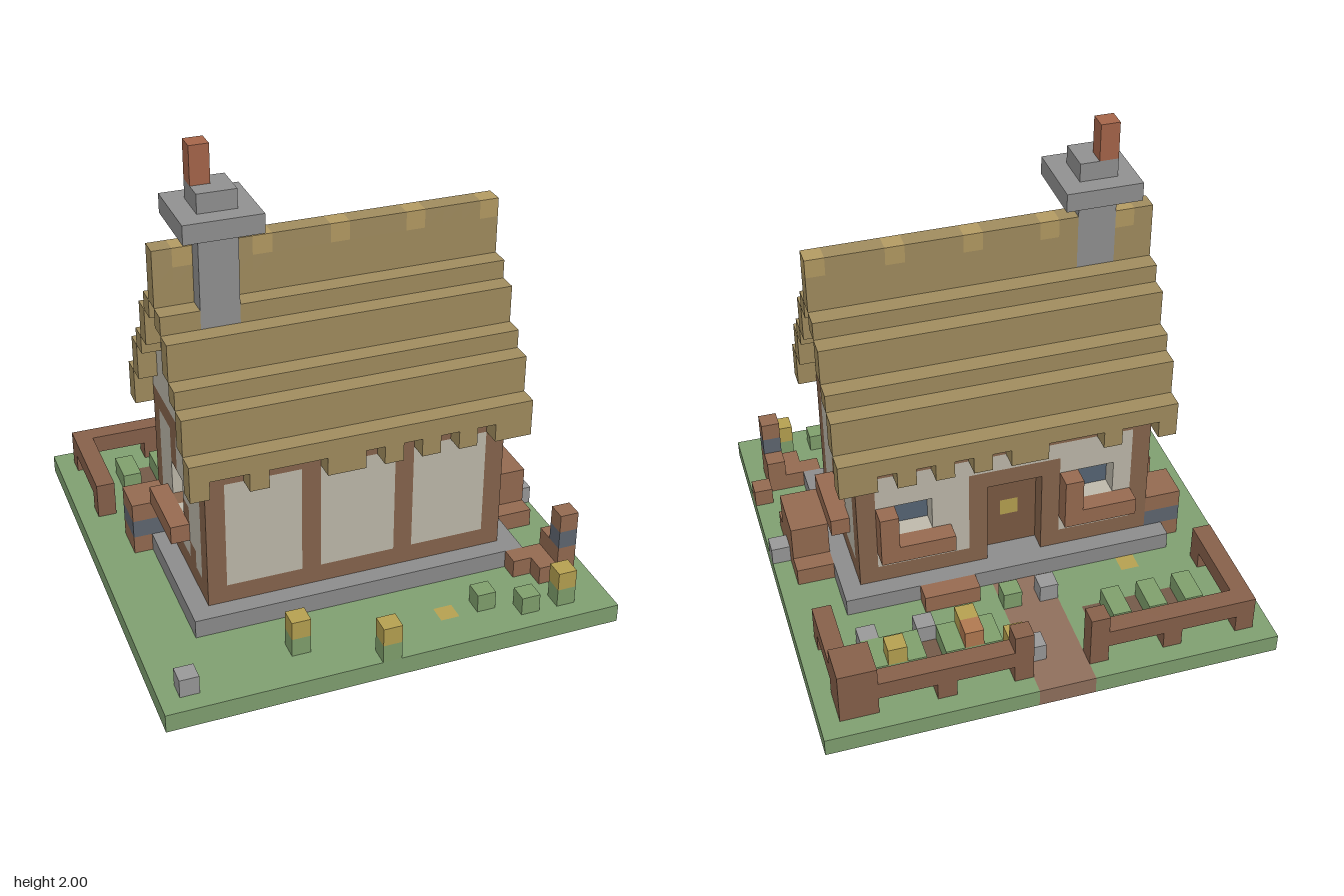
import * as THREE from 'three';

const U = 0.08;              // edge of one block
const N = 26;                // grid size
const COLORS = {
  grass: 0x7f9f70, path: 0x8f6f5c, soil: 0x735a48, foundation: 0x8c8c8c, timberFrame: 0x86644c,
  plaster: 0xbdb8aa, thatch: 0xa08c5e, ridgeTufts: 0xb39a62, chimney: 0x909090, chimneyPot: 0xa5654a,
  windowGlass: 0x566474, door: 0x7a5a42, windowBoxes: 0x966a50, chest: 0x936a50, barrels: 0x936a50,
  barrelBands: 0x5f6670, fence: 0x86604a, plants: 0x7f9f6c, flowers: 0xb5a050, redFlowers: 0xb07850, rocks: 0x989898,
};

export function createModel() {
  const grid = new Map();
  const key = (x, y, z) => ((x + 13) * N + y) * N + z + 13;
  // Fill a block range [x0,x1) [y0,y1) [z0,z1); a null part carves it away
  const fill = (part, x0, x1, y0, y1, z0, z1) => {
    for (let x = x0; x < x1; x++) for (let y = y0; y < y1; y++) for (let z = z0; z < z1; z++) {
      if (part) grid.set(key(x, y, z), { part, x, y, z });
      else grid.delete(key(x, y, z));
    }
  };
  const block = (part, x, y, z) => fill(part, x, x + 1, y, y + 1, z, z + 1);

  // Ground, path and soil rows
  fill('grass', -12, 12, 0, 1, -12, 12);
  fill('path', -2, 1, 0, 1, -12, -4);
  for (const x of [-8, -6, -4]) fill('soil', x, x + 1, 0, 1, -9, -7);
  fill('soil', 5, 6, 0, 1, -9, -7);
  block('flowers', -7, 0, -5);
  block('flowers', 3, 0, 9);

  // House body
  fill('foundation', -9, 9, 1, 2, -4, 7);
  fill('timberFrame', -8, 8, 2, 10, -3, 6);
  fill('plaster', -7, 7, 3, 9, -3, 6);
  fill('plaster', -8, 8, 3, 9, -2, 5);
  for (const x of [-3, 2]) fill('timberFrame', x, x + 1, 3, 9, 5, 6);

  // Stepped thatch with plaster gables underneath
  const steps = [[0, 17, 20], [1, 16, 17], [2, 14, 16], [3, 13, 14], [4, 11, 13], [5, 9, 11]];
  for (const [d, y0, y1] of steps) for (const z of d ? [1 - d, 1 + d] : [1]) {
    if (d < 5) fill('plaster', -8, 8, 10, y0, z, z + 1);
    fill('thatch', -9, 9, y0, y1, z, z + 1);
  }
  for (let x = -8; x <= 8; x += 4) block('ridgeTufts', x, 19, 1);
  // Ragged eaves
  for (const [a, b] of [[-8, -6], [-5, -2], [0, 1], [2, 3], [4, 5], [6, 7]]) {
    fill(null, a, b, 9, 10, 6, 7);
    fill(null, a, b, 9, 10, -4, -3);
  }

  // Chimney
  fill('chimney', -7, -5, 16, 23, 1, 3);
  fill('chimney', -8, -4, 21, 22, 0, 4);
  fill('chimneyPot', -7, -6, 23, 25, 1, 2);

  // Gable walls: post, brace, recessed window and sill box
  for (const s of [1, -1]) {
    const wall = s > 0 ? 7 : -8, inner = wall - s, outer = wall + s;
    fill('timberFrame', wall, wall + 1, 3, 9, 0, 1);
    block('timberFrame', wall, 3, 3);
    block('timberFrame', wall, 4, 2);
    block('timberFrame', wall, 5, 2);
    fill(null, wall, wall + 1, 5, 7, 0, 2);
    fill('windowGlass', Math.min(inner, inner + 1), inner + 1, 5, 7, 0, 2);
    fill('windowBoxes', outer, outer + 1, 4, 5, -1, 3);
  }

  // Back wall: door and two windows with boxes and shutters
  fill('timberFrame', -3, 2, 2, 8, -3, -2);
  fill(null, -2, 1, 2, 7, -3, -2);
  fill('door', -2, 1, 2, 7, -2, -1);
  block('flowers', -1, 4, -2);
  for (const x of [-6, 4]) {
    fill(null, x, x + 2, 5, 7, -3, -2);
    fill('windowGlass', x, x + 2, 5, 7, -2, -1);
    fill('windowBoxes', x - 1, x + 3, 4, 5, -4, -3);
    fill('windowBoxes', x + 2, x + 3, 5, 7, -4, -3);
  }
  fill('windowBoxes', 2, 5, 1, 2, -5, -4);

  // Chest with its step on the +x side
  fill('chest', 9, 11, 1, 2, -1, 4);
  fill('chest', 9, 11, 2, 4, 0, 3);

  // Barrels and log pile
  fill('barrels', -10, -8, 2, 4, -3, -1);
  fill('barrels', -10, -9, 1, 2, -3, -1);
  fill('barrelBands', -10, -8, 2, 3, -3, -1);
  fill('barrels', 9, 11, 1, 2, 7, 9);
  fill('barrels', 10, 11, 2, 3, 7, 9);
  block('barrelBands', 10, 3, 8);
  block('barrels', 10, 4, 8);
  block('barrels', 8, 1, 7);
  block('barrels', 11, 1, 6);

  // Garden fence: rails, then posts [x, z, top]
  fill('fence', -11, -2, 2, 3, -11, -10);
  fill('fence', 1, 11, 2, 3, -11, -10);
  for (const x of [-11, 10]) fill('fence', x, x + 1, 2, 3, -11, -5);
  for (const [x, z, top] of [[-11, -11, 3], [-11, -6, 3], [10, -6, 3], [-7, -11, 3], [5, -11, 3],
    [-3, -11, 4], [1, -11, 4], [9, -11, 4], [10, -11, 4], [10, -10, 4], [9, -10, 4]])
    fill('fence', x, x + 1, 1, top, z, z + 1);

  // Crop rows and flower beds
  for (const x of [-9, -7, -5]) fill('plants', x, x + 1, 1, 2, -9, -7);
  fill('plants', 2, 5, 1, 2, -9, -7);
  fill('plants', 6, 9, 1, 2, -9, -7);
  block('redFlowers', 3, 2, -9);
  block('flowers', 3, 2, -8);
  block('flowers', 7, 2, -9);

  // Loose flowers, tufts and rocks
  for (const [x, z] of [[1, -10], [-5, 9], [-1, 11], [9, 10]]) {
    block('plants', x, 1, z);
    block('flowers', x, 2, z);
  }
  for (const [x, z] of [[0, -6], [5, 9], [7, 10]]) block('plants', x, 1, z);
  for (const [x, z] of [[0, -10], [-2, -6], [5, -7], [8, -7], [-11, 10], [11, 1]]) block('rocks', x, 1, z);

  // Skin the blocks: only faces next to empty space, gathered by part
  const parts = {};
  const axes = [[1, 0, 0], [0, 1, 0], [0, 0, 1]];
  for (const { part, x, y, z } of grid.values()) {
    const p = (parts[part] ??= { pos: [], nor: [], idx: [] });
    for (let a = 0; a < 3; a++) for (const s of [1, -1]) {
      const n = axes[a].map(v => v * s);
      if (y + n[1] < 0 || grid.has(key(x + n[0], y + n[1], z + n[2]))) continue;
      const u = axes[(a + 1) % 3], v = axes[(a + 2) % 3], base = p.pos.length / 3;
      for (const [i, j] of [[-1, -1], [1, -1], [1, 1], [-1, 1]]) {
        [x, y, z].forEach((c, k) => p.pos.push((c + 0.5 + (n[k] + u[k] * i + v[k] * j) / 2) * U));
        p.nor.push(...n);
      }
      const order = s > 0 ? [0, 1, 2, 0, 2, 3] : [0, 2, 1, 0, 3, 2];
      p.idx.push(...order.map(i => base + i));
    }
  }

  const group = new THREE.Group();
  group.name = 'cottage';
  for (const [name, p] of Object.entries(parts)) {
    const geo = new THREE.BufferGeometry();
    geo.setAttribute('position', new THREE.Float32BufferAttribute(p.pos, 3));
    geo.setAttribute('normal', new THREE.Float32BufferAttribute(p.nor, 3));
    geo.setIndex(p.idx);
    const mesh = new THREE.Mesh(geo, new THREE.MeshStandardMaterial({ color: COLORS[name], side: THREE.DoubleSide }));
    mesh.name = name;
    group.add(mesh);
  }
  return group;
}
